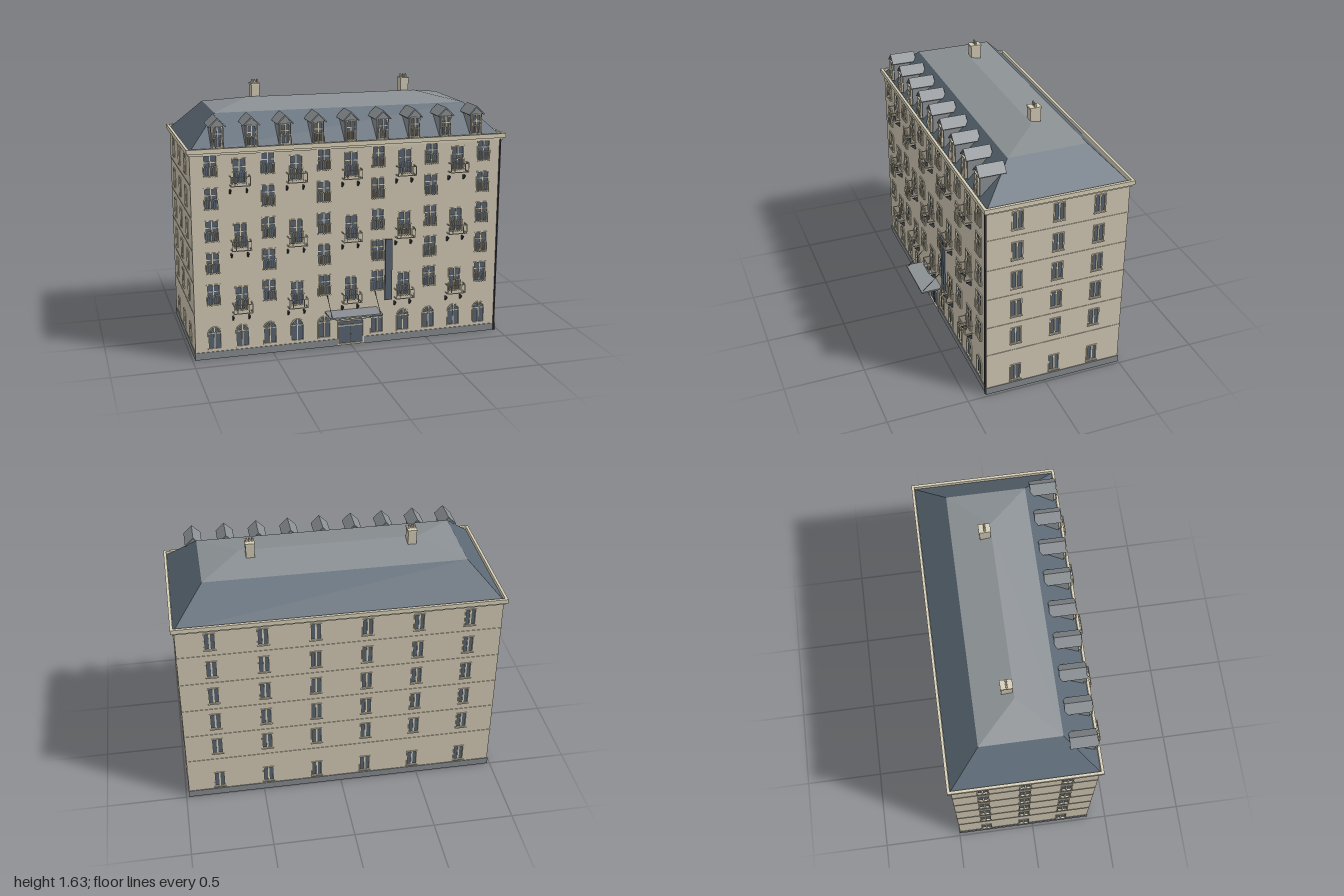
import * as THREE from 'three';

const material = (name, color, side = THREE.FrontSide) => {
  const m = new THREE.MeshStandardMaterial({ color, side });
  m.name = name;
  return m;
};

export function createModel() {
  const wallMat = material('stone wall', 0xcfc6b2, THREE.DoubleSide);
  const trim = material('cream trim', 0xd6ceb6);
  const glass = material('blue glass', 0x56626f, THREE.DoubleSide);
  const slate = material('slate roof', 0x5c6975, THREE.DoubleSide);
  const zinc = material('grey zinc', 0x8a8f93, THREE.DoubleSide);
  const plinthMat = material('grey plinth', 0x85898c);
  const iron = material('dark iron', 0x3d4248);

  const model = new THREE.Group();
  model.name = 'apartmentBuilding';
  const ZC = -0.06, HX = 0.98, HZ = 0.435, WALL_H = 1.28, FRONT = ZC + HZ;

  const add = (parent, name, geo, mat, x = 0, y = 0, z = 0) => {
    const mesh = new THREE.Mesh(geo, mat);
    mesh.name = name;
    mesh.position.set(x, y, z);
    parent.add(mesh);
    return mesh;
  };
  const box = (p, name, mat, w, h, d, x, y, z) => add(p, name, new THREE.BoxGeometry(w, h, d), mat, x, y, z);
  const group = (parent, name, x = 0, y = 0, z = 0) => {
    const g = new THREE.Group();
    g.name = name;
    g.position.set(x, y, z);
    parent.add(g);
    return g;
  };
  // thin straight bar between two points
  const bar = (p, name, mat, a, b, r) => {
    const A = new THREE.Vector3(...a), B = new THREE.Vector3(...b);
    const m = add(p, name, new THREE.CylinderGeometry(r, r, A.distanceTo(B), 6), mat);
    m.position.copy(A).lerp(B, 0.5);
    m.quaternion.setFromUnitVectors(new THREE.Vector3(0, 1, 0), B.sub(A).normalize());
  };

  // opening outline with its bottom centre at (x, y)
  const outline = (C, w, h, arch, x = 0, y = 0) => {
    const s = new C(), r = w / 2;
    s.moveTo(x - r, y);
    s.lineTo(x + r, y);
    if (arch) {
      s.lineTo(x + r, y + h - r);
      s.absarc(x, y + h - r, r, 0, Math.PI, false);
    } else {
      s.lineTo(x + r, y + h);
      s.lineTo(x - r, y + h);
    }
    s.closePath();
    return s;
  };
  const flat = (shape, depth) => new THREE.ExtrudeGeometry(shape, { depth, bevelEnabled: false, curveSegments: 10 });

  // glazed window: frame, panes, glazing bars
  const makeWindow = (parent, { x, y, w, h, arch, kind }) => {
    const g = group(parent, 'window', x, y, 0), t = 0.007;
    const frame = outline(THREE.Shape, w, h, arch);
    frame.holes.push(outline(THREE.Path, w - 2 * t, h - 2 * t, arch, 0, t));
    add(g, 'windowFrame', flat(frame, 0.01), trim, 0, 0, -0.004);
    add(g, 'windowGlass', new THREE.ShapeGeometry(outline(THREE.Shape, w, h, arch), 10), glass, 0, 0, -0.003);
    if (kind === 'door') {
      box(g, 'doorTransom', trim, w - t, 0.007, 0.008, 0, h * 0.78, 0);
      box(g, 'doorGap', iron, 0.003, h * 0.75, 0.006, 0, h * 0.39, 0);
      for (const s of [-1, 1]) add(g, 'doorKnob', new THREE.SphereGeometry(0.003, 8, 6), trim, s * 0.006, 0.065, 0.003);
      return;
    }
    box(g, 'mullion', trim, kind === 'plain' ? 0.01 : 0.006, arch ? h - 0.01 : h - t, 0.006, 0, h / 2, 0);
    if (arch) {
      const c = h - w / 2;
      box(g, 'transom', trim, w - t, 0.005, 0.006, 0, c, 0);
      for (const s of [-1, 1]) bar(g, 'fanBar', trim, [0, c, 0], [s * w * 0.33, c + w * 0.33, 0], 0.002);
    } else if (kind !== 'plain') {
      box(g, 'transom', trim, w - t, 0.005, 0.006, 0, h * 0.66, 0);
      // iron-work guard over the lower half
      box(g, 'guardRail', trim, w, 0.005, 0.005, 0, h * 0.48, 0.011);
      box(g, 'guardFoot', trim, w, 0.005, 0.005, 0, 0.006, 0.011);
      for (let i = -3; i <= 3; i++) box(g, 'guardBar', trim, 0.0035, h * 0.48, 0.004, i * w * 0.155, h * 0.24, 0.011);
    } else {
      box(g, 'windowSill', trim, w + 0.006, 0.005, 0.012, 0, 0, 0.002);
    }
  };

  // wall pierced by its openings, local z pointing outwards
  const makeWall = (name, half, openings, x, z, turn) => {
    const g = group(model, name, x, 0, z);
    g.rotation.y = turn;
    const s = outline(THREE.Shape, half * 2, WALL_H, false);
    for (const o of openings) s.holes.push(outline(THREE.Path, o.w, o.h, o.arch, o.x, o.y));
    add(g, name + 'Surface', new THREE.ShapeGeometry(s, 10), wallMat);
    openings.forEach((o) => makeWindow(g, o));
    return g;
  };

  // front openings: alternating columns of low and half-storey-shifted windows
  const frontOpenings = [], balconies = [];
  for (let i = 0; i < 11; i++) {
    const x = (i - 5) * 0.1722;
    if (i === 5) frontOpenings.push({ x, y: 0.005, w: 0.17, h: 0.16, kind: 'door' });
    else frontOpenings.push({ x, y: 0.06, w: 0.086, h: 0.147, arch: true });
    if (i % 2 === 0) for (let r = 0; r < 5; r++) frontOpenings.push({ x, y: 0.342 + r * 0.198, w: 0.085, h: 0.134 });
    else for (let r = 0; r < 3; r++) {
      const y = 0.295 + r * 0.395;
      frontOpenings.push({ x, y, w: 0.085, h: 0.155 });
      balconies.push([x, y - 0.008]);
    }
  }
  const front = makeWall('frontWall', HX, frontOpenings, 0, FRONT, 0);

  // plain openings of the sides and back
  const rows = [0.06, 0.335, 0.533, 0.732, 0.93, 1.13];
  const plain = (xs) => xs.flatMap((x) => rows.map((y) => ({ x, y, w: 0.07, h: 0.12, kind: 'plain' })));
  const sideXs = [-0.252, 0, 0.252], backXs = [-0.78, -0.468, -0.156, 0.156, 0.468, 0.78];
  const others = [
    [makeWall('leftWall', HZ, plain(sideXs), HX, ZC, Math.PI / 2), HZ],
    [makeWall('rightWall', HZ, plain(sideXs), -HX, ZC, -Math.PI / 2), HZ],
    [makeWall('backWall', HX, plain(backXs), 0, ZC - HZ, Math.PI), HX],
  ];
  for (const [g, half] of others) {
    box(g, 'plinth', plinthMat, half * 2 + 0.008, 0.046, 0.004, 0, 0.023, 0.002);
    for (let i = 0; i < 5; i++) box(g, 'stringCourse', wallMat, half * 2, 0.005, 0.003, 0, 0.29 + i * 0.2, 0.0015);
  }
  for (const s of [-1, 1]) box(front, 'plinth', plinthMat, HX - 0.083, 0.046, 0.004, s * (HX + 0.087) / 2, 0.023, 0.002);

  // balconies: open railing and two brackets
  for (const [x, y] of balconies) {
    const b = group(front, 'balcony', x, y, 0);
    for (const h of [0.003, 0.058]) {
      box(b, 'balconyRail', trim, 0.12, 0.005, 0.005, 0, h, 0.048);
      for (const s of [-1, 1]) box(b, 'balconySideRail', trim, 0.005, 0.005, 0.048, s * 0.0575, h, 0.024);
    }
    for (const px of [-0.0575, -0.035, 0.035, 0.0575]) box(b, 'balconyPost', trim, 0.004, 0.058, 0.004, px, 0.03, 0.048);
    for (const s of [-1, 1]) {
      const wedge = new THREE.Shape([[0, -0.05], [0.006, -0.05], [0.035, -0.022], [0, -0.022]].map((p) => new THREE.Vector2(...p)));
      add(b, 'balconyBracket', flat(wedge, 0.008), iron, s * 0.05 - 0.004, 0, 0).rotation.y = -Math.PI / 2;
    }
  }

  // entrance canopy with stays, and the slanted board beneath it
  const canopy = group(front, 'entranceCanopy');
  box(canopy, 'canopyRoof', zinc, 0.336, 0.01, 0.136, 0, 0.231, 0.068);
  for (const s of [-1, 1]) bar(canopy, 'canopyStay', iron, [s * 0.155, 0.235, 0.125], [s * 0.155, 0.35, 0.002], 0.002);
  box(canopy, 'canopyBoard', trim, 0.225, 0.005, 0.072, 0, 0.208, 0.031).rotation.x = 0.53;
  box(canopy, 'canopyBoardEdge', trim, 0.225, 0.006, 0.06, 0, 0.192, 0.03);

  // upright blank panel and the downpipe
  box(front, 'uprightPanel', glass, 0.045, 0.395, 0.012, 0.242, 0.477, 0.012);
  bar(front, 'downpipe', iron, [0.97, 0, 0.006], [0.97, 1.27, 0.006], 0.005);

  // cornice: two stacked rings
  const ring = (name, mat, out, inner, y, h) => {
    const rect = (C, o) => outline(C, 2 * (HX + o), 2 * (HZ + o), false, 0, -(HZ + o));
    const s = rect(THREE.Shape, out);
    s.holes.push(rect(THREE.Path, inner));
    add(model, name, flat(s, h), mat, 0, y, ZC).rotation.x = -Math.PI / 2;
  };
  ring('corniceMoulding', trim, 0.008, -0.002, 1.264, 0.016);
  ring('cornice', trim, 0.02, 0.003, 1.278, 0.027);

  // roof: lofts between rectangular rings
  const rect = (hx, zf, zb, y) => [[-hx, y, zf], [hx, y, zf], [hx, y, zb], [-hx, y, zb]];
  const loft = (name, mat, a, b) => {
    const pos = [];
    for (let i = 0; i < 4; i++) {
      const j = (i + 1) % 4;
      for (const p of [a[i], a[j], b[j], a[i], b[j], b[i]]) pos.push(...p);
    }
    const geo = new THREE.BufferGeometry();
    geo.setAttribute('position', new THREE.Float32BufferAttribute(pos, 3));
    geo.computeVertexNormals();
    add(model, name, geo, mat);
  };
  const brk = rect(0.793, 0.18, -0.307, 1.48);
  loft('mansardRoof', slate, rect(0.982, 0.377, -0.497, 1.283), brk);
  loft('upperRoof', zinc, brk, rect(0.55, -0.066, -0.066, 1.532));

  // dormers
  const pts = (list) => new THREE.Shape(list.map((p) => new THREE.Vector2(...p)));
  for (let i = -4; i <= 4; i++) {
    const d = group(model, 'dormer', i * 0.2027, 0, 0);
    add(d, 'dormerBody', flat(pts([[-0.037, 1.3], [0.037, 1.3], [0.037, 1.438], [0, 1.472], [-0.037, 1.438]]), 0.14), zinc, 0, 0, 0.222);
    add(d, 'dormerRoof', flat(pts([[-0.053, 1.43], [-0.048, 1.425], [0, 1.472], [0.048, 1.425], [0.053, 1.43], [0, 1.482]]), 0.162), zinc, 0, 0, 0.211);
    const w = group(d, 'dormerWindow', 0, 1.305, 0.367);
    makeWindow(w, { x: 0, y: 0, w: 0.06, h: 0.125 });
  }

  // chimneys with caps and pots
  for (const s of [-1, 1]) {
    const c = group(model, 'chimney', s * 0.49, 0, -0.106);
    box(c, 'chimneyStack', wallMat, 0.052, 0.12, 0.064, 0, 1.545, 0);
    box(c, 'chimneyCap', trim, 0.058, 0.01, 0.072, 0, 1.607, 0);
    for (const k of [-1, 0, 1]) add(c, 'chimneyPot', new THREE.CylinderGeometry(0.005, 0.007, 0.024, 8), trim, k * 0.017, 1.623, 0);
  }
  return model;
}
